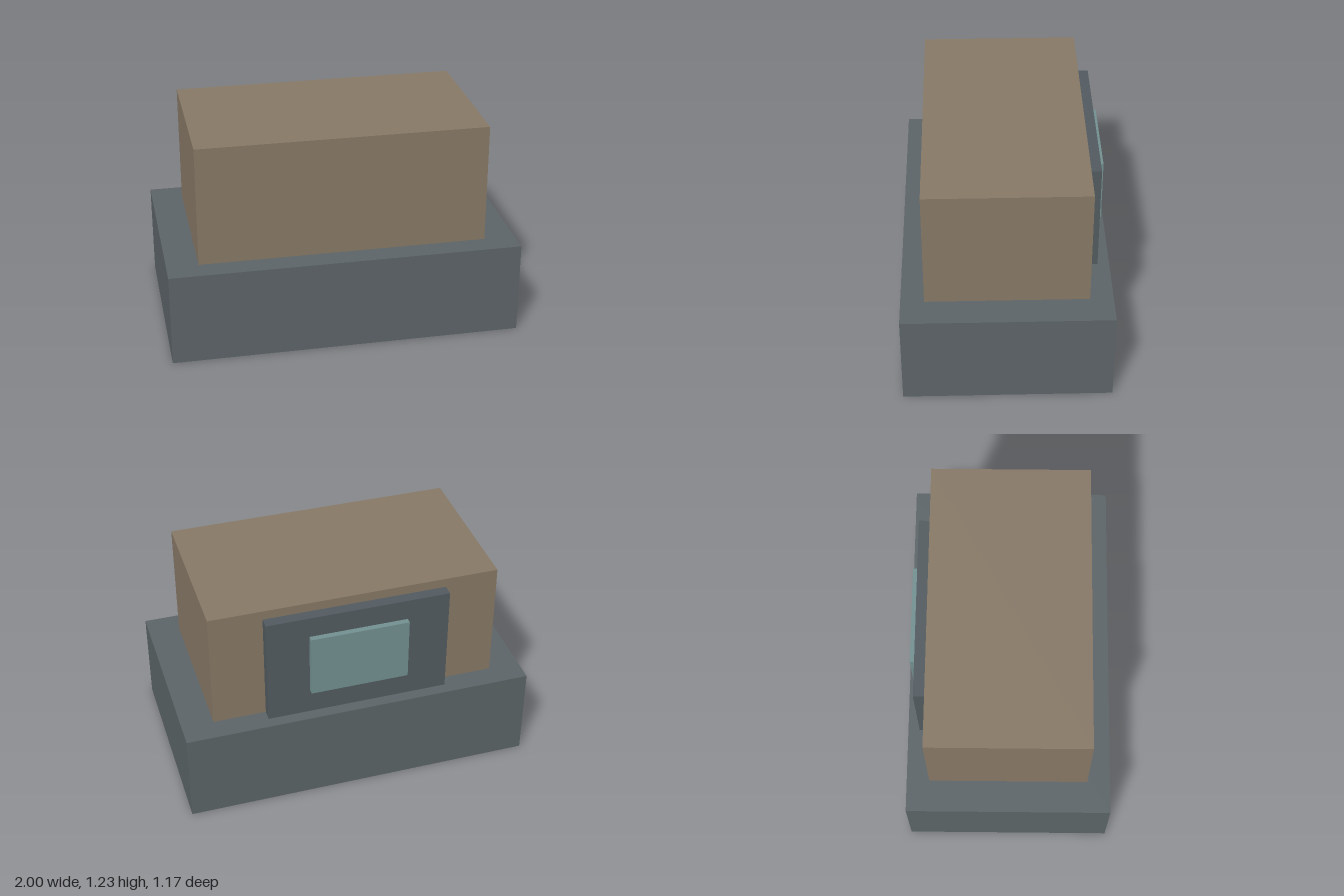
import * as THREE from 'three';

// Box given by its half width and its y and z extents
function slab(name, color, halfWidth, y0, y1, z0, z1) {
  const mesh = new THREE.Mesh(
    new THREE.BoxGeometry(halfWidth * 2, y1 - y0, z1 - z0),
    new THREE.MeshStandardMaterial({ color })
  );
  mesh.name = name;
  mesh.position.set(0, (y0 + y1) / 2, (z0 + z1) / 2);
  return mesh;
}

export function createModel() {
  const model = new THREE.Group();
  model.name = 'blockOnPlinth';
  const deck = 0.535;
  const back = -0.453; // rear face of the upper block

  model.add(
    slab('base', 0x5c6467, 1, 0, deck, -0.583, 0.583),
    slab('upperBlock', 0x877866, 0.82, deck, 1.228, back, 0.453),
    // Rear panel with a raised pane
    slab('rearPanel', 0x535b60, 0.52, deck, 1.175, -0.517, back),
    slab('rearPane', 0x739090, 0.28, 0.685, 1.053, -0.55, -0.517)
  );
  return model;
}
